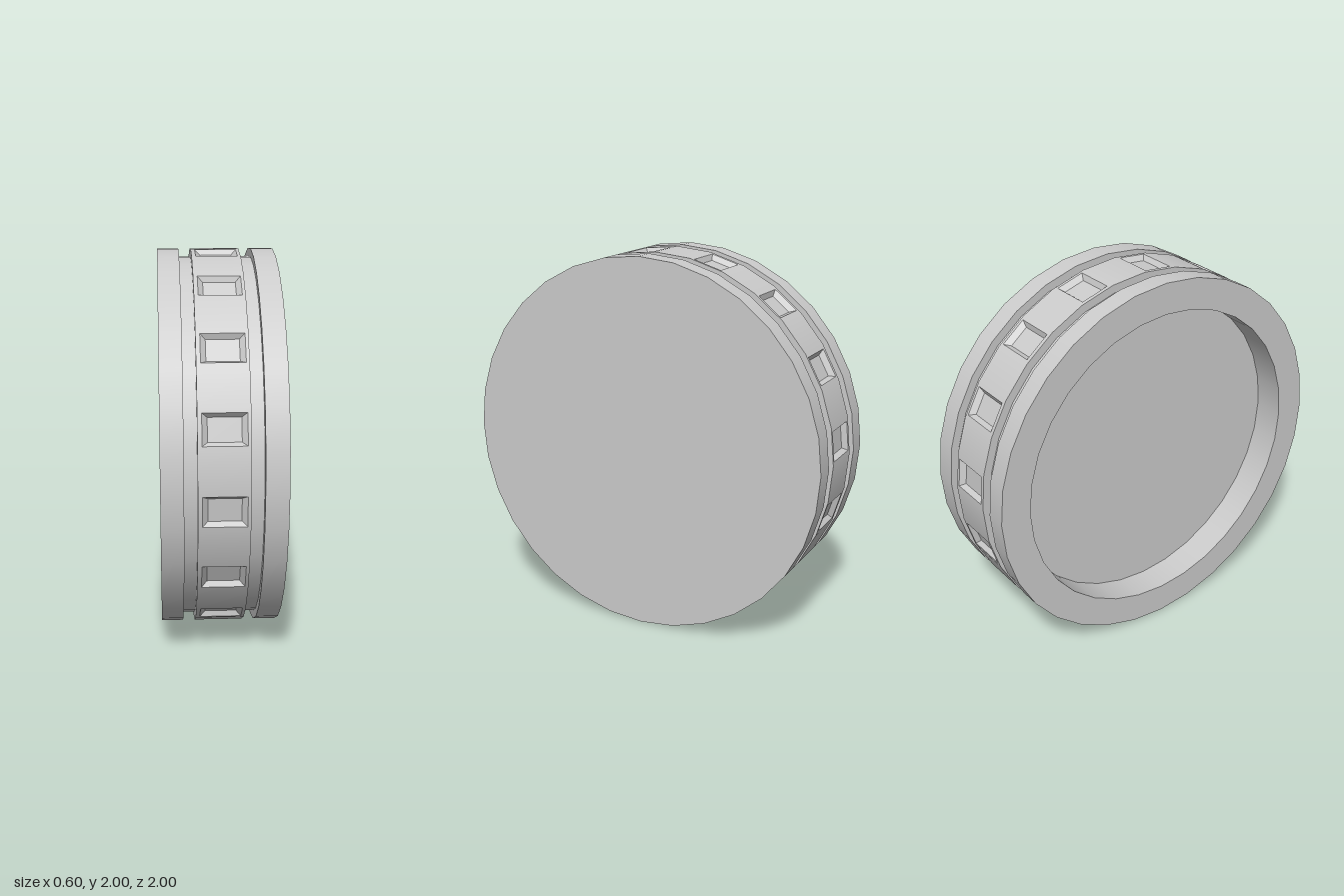
import * as THREE from 'three';
import { mergeGeometries } from 'three/addons/utils/BufferGeometryUtils.js';

const SIDES = 32;
const STEP = (2 * Math.PI) / SIDES;
const material = new THREE.MeshStandardMaterial({ color: 0xcccccc });

// Revolves each profile segment on its own: smooth around the axis, sharp at profile corners
function turned(name, profile) {
  const strips = [];
  for (let i = 0; i + 1 < profile.length; i++) {
    const pair = [profile[i], profile[i + 1]].map(([r, x]) => new THREE.Vector2(r, x));
    strips.push(new THREE.LatheGeometry(pair, SIDES));
  }
  const geometry = mergeGeometries(strips).rotateZ(-Math.PI / 2);
  const mesh = new THREE.Mesh(geometry, material);
  mesh.name = name;
  return mesh;
}

// Corners of a rectangle on a panel, counter-clockwise seen from outside
function rectangle(angle, x0, x1, halfT, height) {
  const s = Math.sin(angle), c = Math.cos(angle);
  return [[x0, -halfT], [x1, -halfT], [x1, halfT], [x0, halfT]].map(([x, t]) =>
    [x, height * s + t * c, height * c - t * s]);
}

function addQuad(list, a, b, c, d) {
  list.push(...a, ...b, ...c, ...a, ...c, ...d);
}

// Four quads joining an outer rectangle to an inner one
function addFrame(list, outer, inner) {
  for (let i = 0; i < 4; i++) {
    const j = (i + 1) % 4;
    addQuad(list, outer[i], outer[j], inner[j], inner[i]);
  }
}

function soup(positions) {
  const geometry = new THREE.BufferGeometry();
  geometry.setAttribute('position', new THREE.Float32BufferAttribute(positions, 3));
  geometry.computeVertexNormals();
  return geometry;
}

// Raised middle band: every second panel carries a bevelled rectangular dent
function createBand() {
  const surface = [], dents = [];
  const h = Math.cos(STEP / 2), half = Math.sin(STEP / 2);
  for (let i = 0; i < SIDES; i++) {
    const angle = (i - 0.5) * STEP;
    const panel = rectangle(angle, -0.127, 0.122, half, h);
    if (i % 2) {
      addQuad(surface, ...panel);
      continue;
    }
    const rim = rectangle(angle, -0.106, 0.106, 0.077, h);
    const floor = rectangle(angle, -0.08, 0.08, 0.058, h - 0.025);
    addFrame(surface, panel, rim);
    addFrame(dents, rim, floor);
    addQuad(dents, ...floor);
  }
  // Radial normals keep the band smooth around the wheel
  const skin = soup(surface);
  const p = skin.attributes.position, n = skin.attributes.normal;
  for (let i = 0; i < p.count; i++) {
    const r = Math.hypot(p.getY(i), p.getZ(i));
    n.setXYZ(i, 0, p.getY(i) / r, p.getZ(i) / r);
  }
  const band = new THREE.Group();
  band.name = 'treadBand';
  const skinMesh = new THREE.Mesh(skin, material);
  skinMesh.name = 'bandSurface';
  const dentMesh = new THREE.Mesh(soup(dents), material);
  dentMesh.name = 'bandDents';
  band.add(skinMesh, dentMesh);
  return band;
}

export function createModel() {
  const wheel = new THREE.Group();
  wheel.name = 'wheel';
  // Recessed side with its rim and groove
  wheel.add(turned('recessedSide', [
    [0, -0.13], [0.835, -0.13], [0.835, -0.3], [1, -0.3],
    [1, -0.19], [0.957, -0.19], [0.957, -0.127], [1, -0.127],
  ]));
  wheel.add(createBand());
  // Closed flat side with its groove
  wheel.add(turned('flatSide', [
    [1, 0.122], [0.957, 0.122], [0.957, 0.186], [1, 0.186], [1, 0.3], [0, 0.3],
  ]));
  wheel.position.y = 1;
  const model = new THREE.Group();
  model.name = 'model';
  model.add(wheel);
  return model;
}
